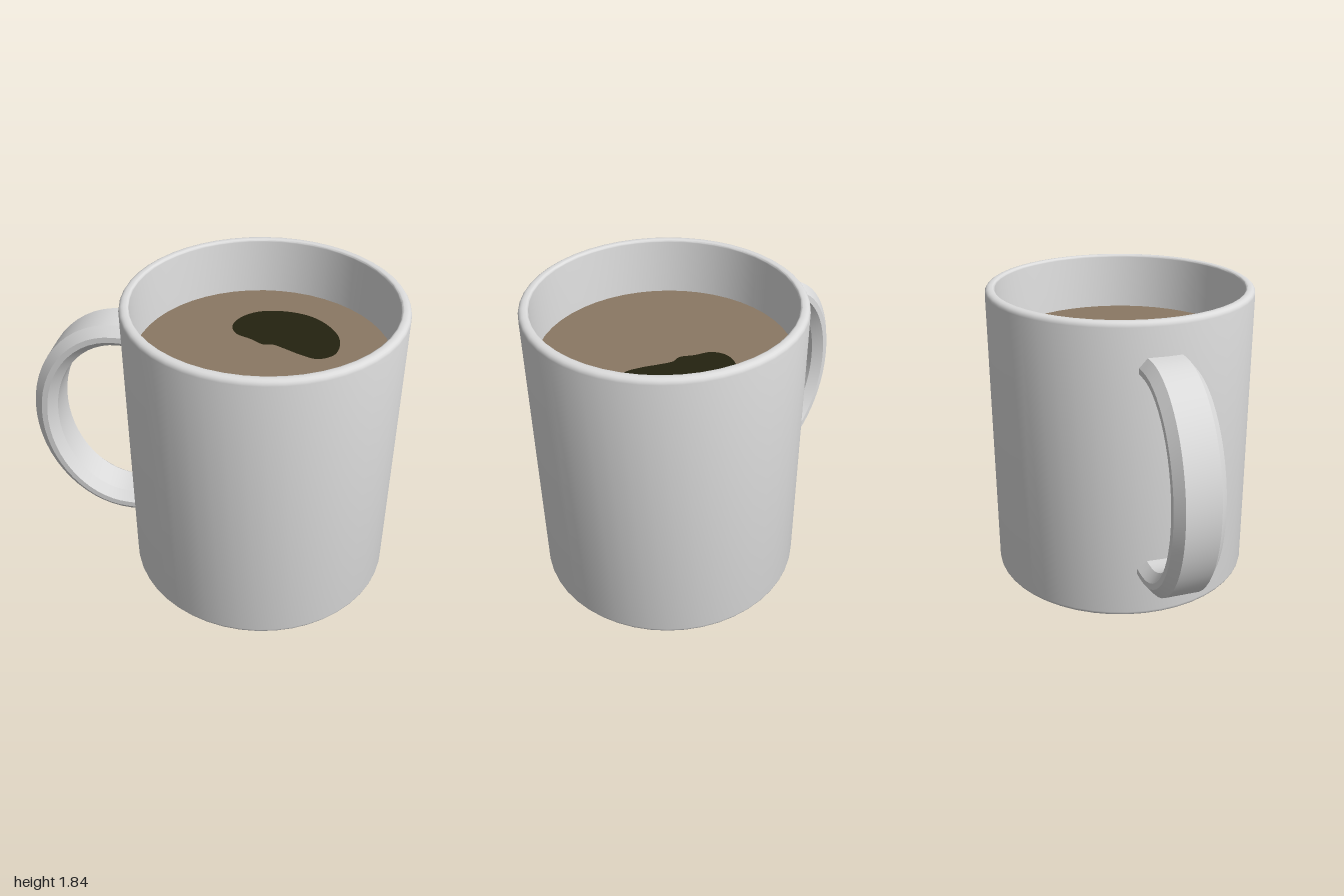
import * as THREE from 'three';
import { toCreasedNormals } from 'three/addons/utils/BufferGeometryUtils.js';

const CX = 0.06, CZ = 0.18;        // mug axis
const R = 0.81, INNER = 0.752, H = 1.84, LEVEL = 1.485;

// Quarter-round edge points around a centre, from angle a0 to a1
function arc(cx, cy, r, a0, a1, n = 4) {
  return Array.from({ length: n + 1 }, (_, i) => {
    const a = a0 + (a1 - a0) * i / n;
    return new THREE.Vector2(cx + r * Math.cos(a), cy + r * Math.sin(a));
  });
}

// Mug wall with rounded edges, closed floor and hollow inside
function mugGeometry() {
  const b = 0.03, t = 0.015, P = Math.PI;
  const profile = [
    new THREE.Vector2(0, 0),
    ...arc(R - b, b, b, -P / 2, 0),
    ...arc(R - b, H - b, b, 0, P / 2),
    ...arc(INNER + t, H - t, t, P / 2, P),
    new THREE.Vector2(INNER, 0.08),
    new THREE.Vector2(0, 0.08),
  ];
  return toCreasedNormals(new THREE.LatheGeometry(profile, 48), 0.7);
}

// Half-elliptical handle: a chamfered section swept outwards in the local x/y plane
function handleGeometry() {
  // [half thickness offset, width]
  const section = [
    [0.07, 0.1], [0.015, 0.146], [-0.02, 0.146], [-0.07, 0.09],
    [-0.07, -0.09], [-0.02, -0.146], [0.015, -0.146], [0.07, -0.1],
  ];
  const steps = 28, c = 0.85, a = 0.49, b = 0.63, midY = 0.94;
  const rings = [];
  for (let i = -1; i <= steps + 1; i++) {
    const k = Math.min(Math.max(i, 0), steps);
    const ang = -Math.PI / 2 + Math.PI * k / steps;
    const inset = i === k ? 0 : -0.08;   // straight root sunk into the wall
    rings.push(section.map(([o, w]) => [
      c + inset + (a + o) * Math.cos(ang), midY + (b + o) * Math.sin(ang), w,
    ]));
  }
  const pos = [], idx = [];
  // Each strip has its own vertices: smooth lengthwise, crisp at the chamfers
  section.forEach((_, s) => {
    const base = pos.length / 3, n = (s + 1) % section.length;
    rings.forEach((r, i) => {
      pos.push(...r[s], ...r[n]);
      if (i === 0) return;
      const p = base + 2 * (i - 1);
      idx.push(p, p + 2, p + 1, p + 1, p + 2, p + 3);
    });
  });
  const g = new THREE.BufferGeometry();
  g.setAttribute('position', new THREE.Float32BufferAttribute(pos, 3));
  g.setIndex(idx);
  g.computeVertexNormals();
  return g;
}

// Dark bean-shaped patch floating on the drink, outline given as [x, z]
function patchGeometry() {
  const outline = [
    [0.09, -0.08], [0.13, -0.16], [0.23, -0.2], [0.36, -0.18], [0.48, -0.08],
    [0.555, 0.06], [0.565, 0.19], [0.52, 0.34], [0.44, 0.43], [0.34, 0.475],
    [0.24, 0.44], [0.2, 0.34], [0.18, 0.23], [0.16, 0.15], [0.12, 0.11], [0.11, 0.02],
  ].map(([x, z]) => new THREE.Vector3(x - CX, CZ - z, 0));
  const pts = new THREE.CatmullRomCurve3(outline, true).getPoints(80);
  pts.pop();
  const shape = new THREE.Shape(pts.map((p) => new THREE.Vector2(p.x, p.y)));
  return new THREE.ShapeGeometry(shape).rotateX(-Math.PI / 2);
}

export function createModel() {
  const ceramic = new THREE.MeshStandardMaterial({ color: 0xdcdcdc });
  ceramic.name = 'ceramic';
  const coffee = new THREE.MeshStandardMaterial({ color: 0x8a7863 });
  coffee.name = 'coffee';
  const darkBrown = new THREE.MeshStandardMaterial({ color: 0x242210 });
  darkBrown.name = 'darkBrown';

  const model = new THREE.Group();
  model.name = 'mug';
  model.position.set(CX, 0, CZ);
  const add = (name, geometry, material, y = 0) => {
    const mesh = new THREE.Mesh(geometry, material);
    mesh.name = name;
    mesh.position.y = y;
    model.add(mesh);
    return mesh;
  };

  add('cup', mugGeometry(), ceramic);
  // Handle points to the back right
  add('handle', handleGeometry(), ceramic).rotation.y = Math.atan2(0.8, -0.6);
  add('drinkSurface', new THREE.CircleGeometry(INNER, 48).rotateX(-Math.PI / 2), coffee, LEVEL);
  add('darkPatch', patchGeometry(), darkBrown, LEVEL + 0.004);

  const root = new THREE.Group();
  root.add(model);
  return root;
}
